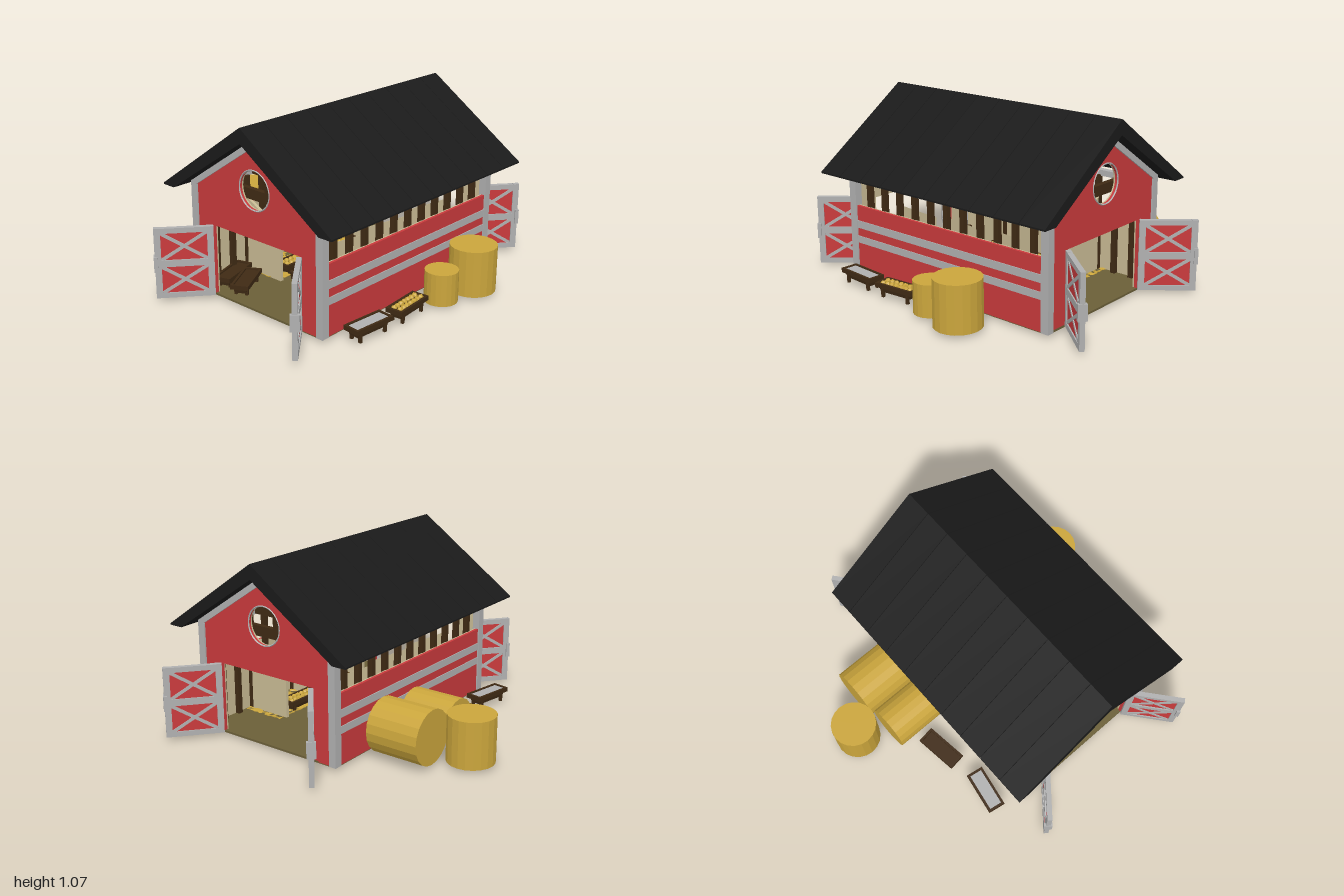
import * as THREE from 'three';

const mat = (color, extra = {}) => new THREE.MeshStandardMaterial({ color, flatShading: true, ...extra });
const RED = mat(0xc93a3c), GREY = mat(0xb0b0b0), BLACK = mat(0x1a1a1a), WOOD = mat(0x3f2a14);
const BEIGE = mat(0xc8ba94), FLOOR = mat(0x6b5f38), HAY = mat(0xcaa53c), STEEL = mat(0xcccccc, { side: THREE.DoubleSide });

function add(parent, name, geo, material, x = 0, y = 0, z = 0) {
  const m = new THREE.Mesh(geo, material);
  m.name = name;
  m.position.set(x, y, z);
  parent.add(m);
  return m;
}
const box = (p, name, material, w, h, d, x, y, z) => add(p, name, new THREE.BoxGeometry(w, h, d), material, x, y, z);
function group(parent, name, x = 0, y = 0, z = 0) {
  const g = new THREE.Group();
  g.name = name;
  g.position.set(x, y, z);
  parent.add(g);
  return g;
}
// beam between two points of a plane at constant z
function beam(p, name, material, a, b, h, d, z) {
  const dx = b[0] - a[0], dy = b[1] - a[1];
  const m = box(p, name, material, Math.hypot(dx, dy), h, d, (a[0] + b[0]) / 2, (a[1] + b[1]) / 2, z);
  m.rotation.z = Math.atan2(dy, dx);
  return m;
}
const shapeOf = pts => new THREE.Shape(pts.map(p => new THREE.Vector2(...p)));
const extrude = (shape, depth) => new THREE.ExtrudeGeometry(shape, { depth, bevelEnabled: false, curveSegments: 16 });
const hash = (x, y, z) => {
  const s = Math.sin(x * 127.1 + y * 311.7 + z * 74.7) * 43758.5453;
  return s - Math.floor(s) - 0.5;
};

// gable wall with a doorway and a round window
function gableGeometry(depth) {
  const s = shapeOf([[-0.48, 0.02], [-0.325, 0.02], [-0.325, 0.435], [0.325, 0.435], [0.325, 0.02],
    [0.48, 0.02], [0.48, 0.65], [0, 0.97], [-0.48, 0.65]]);
  const hole = new THREE.Path();
  hole.absarc(0, 0.71, 0.11, 0, Math.PI * 2, true);
  s.holes.push(hole);
  return extrude(s, depth);
}

// door leaf running from its hinge along local +x
function door(parent, sx, sz) {
  const g = group(parent, 'door', sx * 0.325, 0, sz * 0.735);
  g.rotation.y = Math.atan2(-sz * 0.77, sx * 0.64);
  box(g, 'doorPanel', RED, 0.31, 0.405, 0.014, 0.163, 0.228, 0);
  for (const y of [0.036, 0.226, 0.419]) box(g, 'doorRail', GREY, 0.325, y > 0.1 && y < 0.3 ? 0.04 : 0.03, 0.028, 0.163, y, 0);
  for (const x of [0.018, 0.308]) box(g, 'doorStile', GREY, 0.036, 0.414, 0.028, x, 0.228, 0);
  for (const [lo, hi] of [[0.05, 0.206], [0.246, 0.405]]) {
    beam(g, 'doorBrace', GREY, [0.035, lo], [0.29, hi], 0.018, 0.024, 0);
    beam(g, 'doorBrace', GREY, [0.035, hi], [0.29, lo], 0.018, 0.024, 0);
  }
  box(g, 'doorClasp', GREY, 0.022, 0.09, 0.05, 0.32, 0.226, 0);
}

// feeding trough with splayed sides; filling: 'hay', 'water' or none
function trough(parent, x, z, turn, filling) {
  const g = group(parent, 'trough', x, 0, z);
  g.rotation.y = turn;
  const body = new THREE.BoxGeometry(0.085, 0.045, 0.23);
  const p = body.attributes.position;
  for (let i = 0; i < p.count; i++) if (p.getY(i) < 0) p.setXYZ(i, p.getX(i) * 0.75, p.getY(i), p.getZ(i) * 0.92);
  body.computeVertexNormals();
  add(g, 'troughBody', body, WOOD, 0, 0.063, 0);
  for (const s of [-1, 1]) {
    box(g, 'troughRim', WOOD, 0.014, 0.026, 0.26, s * 0.045, 0.082, 0);
    box(g, 'troughRim', WOOD, 0.1, 0.026, 0.014, 0, 0.082, s * 0.123);
    for (const t of [-1, 1]) box(g, 'troughLeg', WOOD, 0.016, 0.05, 0.016, s * 0.032, 0.037, t * 0.09);
  }
  if (filling === 'water') box(g, 'troughLining', GREY, 0.078, 0.004, 0.234, 0, 0.087, 0);
  if (filling === 'hay') for (let i = 0; i < 14; i++) {
    add(g, 'feed', new THREE.IcosahedronGeometry(0.018, 0), HAY, (i % 2 - 0.5) * 0.038, 0.088, -0.1 + Math.floor(i / 2) * 0.033).rotation.set(i, i * 2, 0);
  }
}

function bale(parent, r, len, x, y, z, lying) {
  const m = add(parent, 'roundBale', new THREE.CylinderGeometry(r, r, len, 20), HAY, x, y, z);
  if (lying) m.rotation.z = Math.PI / 2;
}

export function createModel() {
  const model = new THREE.Group();
  model.name = 'barn';
  const barn = group(model, 'barnBuilding', 0.155);
  box(barn, 'floor', FLOOR, 0.96, 0.012, 1.46, 0, 0.021, 0);

  // gable ends with grey trim and doors
  for (const s of [-1, 1]) {
    add(barn, 'gableWall', gableGeometry(0.018), RED, 0, 0, s > 0 ? 0.712 : -0.73);
    add(barn, 'gableLining', gableGeometry(0.008), BEIGE, 0, 0, s > 0 ? 0.703 : -0.711);
    add(barn, 'windowRim', new THREE.TorusGeometry(0.111, 0.005, 4, 32), GREY, 0, 0.71, s * 0.729);
    for (const t of [-1, 1]) {
      const rake = shapeOf([[0, 0.985], [0, 0.945], [t * 0.45, 0.645], [t * 0.49, 0.62], [t * 0.49, 0.658]]);
      add(barn, 'rakeTrim', extrude(rake, 0.03), GREY, 0, 0, s > 0 ? 0.71 : -0.74);
      box(barn, 'cornerPost', GREY, 0.045, 0.625, 0.05, t * 0.4675, 0.3325, s * 0.715);
      door(barn, t, s);
    }
  }

  // side walls: boarded below, open studs above
  for (const s of [-1, 1]) {
    box(barn, 'sideWall', RED, 0.016, 0.405, 1.4, s * 0.474, 0.2225, 0);
    box(barn, 'sideLining', BEIGE, 0.008, 0.405, 1.4, s * 0.462, 0.2225, 0);
    box(barn, 'wallStripe', GREY, 0.01, 0.045, 1.4, s * 0.482, 0.3125, 0);
    box(barn, 'wallStripe', GREY, 0.01, 0.042, 1.4, s * 0.482, 0.22, 0);
    box(barn, 'eaveBeam', GREY, 0.04, 0.035, 1.44, s * 0.468, 0.615, 0);
    for (let i = -5; i <= 5; i++) box(barn, 'stud', WOOD, 0.03, 0.58, 0.03, s * 0.446, 0.315, i * 0.122);
  }

  // roof: ten panels on each slope, thin seams between them
  for (const s of [-1, 1]) for (let i = 0; i < 10; i++) {
    const profile = shapeOf([[0, 1.07], [s * 0.625, 0.635], [s * 0.625, 0.626], [s * 0.54, 0.626], [0, 0.985]]);
    add(barn, 'roofPanel', extrude(profile, 0.162), BLACK, 0, 0, -0.823 + i * 0.1648);
  }

  // roof trusses
  for (let i = -2; i <= 2; i++) {
    const z = i * 0.305;
    box(barn, 'tieBeam', WOOD, 0.92, 0.06, 0.03, 0, 0.632, z);
    box(barn, 'kingPost', WOOD, 0.06, 0.3, 0.03, 0, 0.81, z);
    for (const s of [-1, 1]) beam(barn, 'rafter', WOOD, [s * 0.46, 0.65], [0, 0.957], 0.04, 0.03, z);
  }

  // hanging lamps
  for (const z of [-0.44, 0, 0.44]) {
    add(barn, 'lampCord', new THREE.CylinderGeometry(0.004, 0.004, 0.16, 6), GREY, 0, 0.58, z);
    add(barn, 'lampShade', new THREE.CylinderGeometry(0.016, 0.045, 0.026, 12, 1, true), STEEL, 0, 0.488, z);
  }

  // stalls: sloped dividers, end posts, straw bedding and buckets
  for (const s of [-1, 1]) {
    for (const z of [-0.37, 0, 0.37]) {
      const panel = shapeOf([[s * 0.165, 0.025], [s * 0.46, 0.025], [s * 0.46, 0.49], [s * 0.165, 0.34]]);
      add(barn, 'stallDivider', extrude(panel, 0.02), BEIGE, 0, 0, z - 0.01);
    }
    const straw = new THREE.BoxGeometry(0.27, 0.022, 0.8, 12, 1, 36);
    const p = straw.attributes.position;
    for (let i = 0; i < p.count; i++) {
      const x = p.getX(i), y = p.getY(i), z = p.getZ(i);
      p.setXYZ(i, x + hash(z, y, x) * 0.014, y + hash(x, y, z) * 0.012, z + hash(y, z, x) * 0.014);
    }
    add(barn, 'strawBedding', straw, HAY, s * 0.32, 0.018, -0.02);
    add(barn, 'bucket', new THREE.CylinderGeometry(0.02, 0.015, 0.045, 10), WOOD, s * 0.14, 0.05, 0.3);
    for (const z of [-0.18, 0.18]) trough(barn, s * 0.23, z, 0, 'hay');
  }
  add(barn, 'strawPile', new THREE.ConeGeometry(0.035, 0.07, 8), HAY, -0.29, 0.06, 0.1);
  trough(barn, -0.25, 0.57, 0.5);
  trough(barn, -0.38, 0.55, 0.3);

  // outdoor troughs
  trough(model, -0.52, 0.19, 0.13);
  trough(model, -0.485, 0.56, -0.17, 'water');
  trough(model, 0.775, 0.21, 0.08, 'hay');
  trough(model, 0.765, 0.52, -0.08, 'water');

  // round bales
  bale(model, 0.135, 0.27, -0.845, 0.155, -0.22, false);
  bale(model, 0.157, 0.32, -0.55, 0.175, -0.392, true);
  bale(model, 0.135, 0.3, -0.54, 0.16, -0.1, true);
  bale(model, 0.135, 0.27, 0.84, 0.155, -0.3, false);
  bale(model, 0.095, 0.185, 0.8, 0.11, -0.06, false);
  return model;
}
